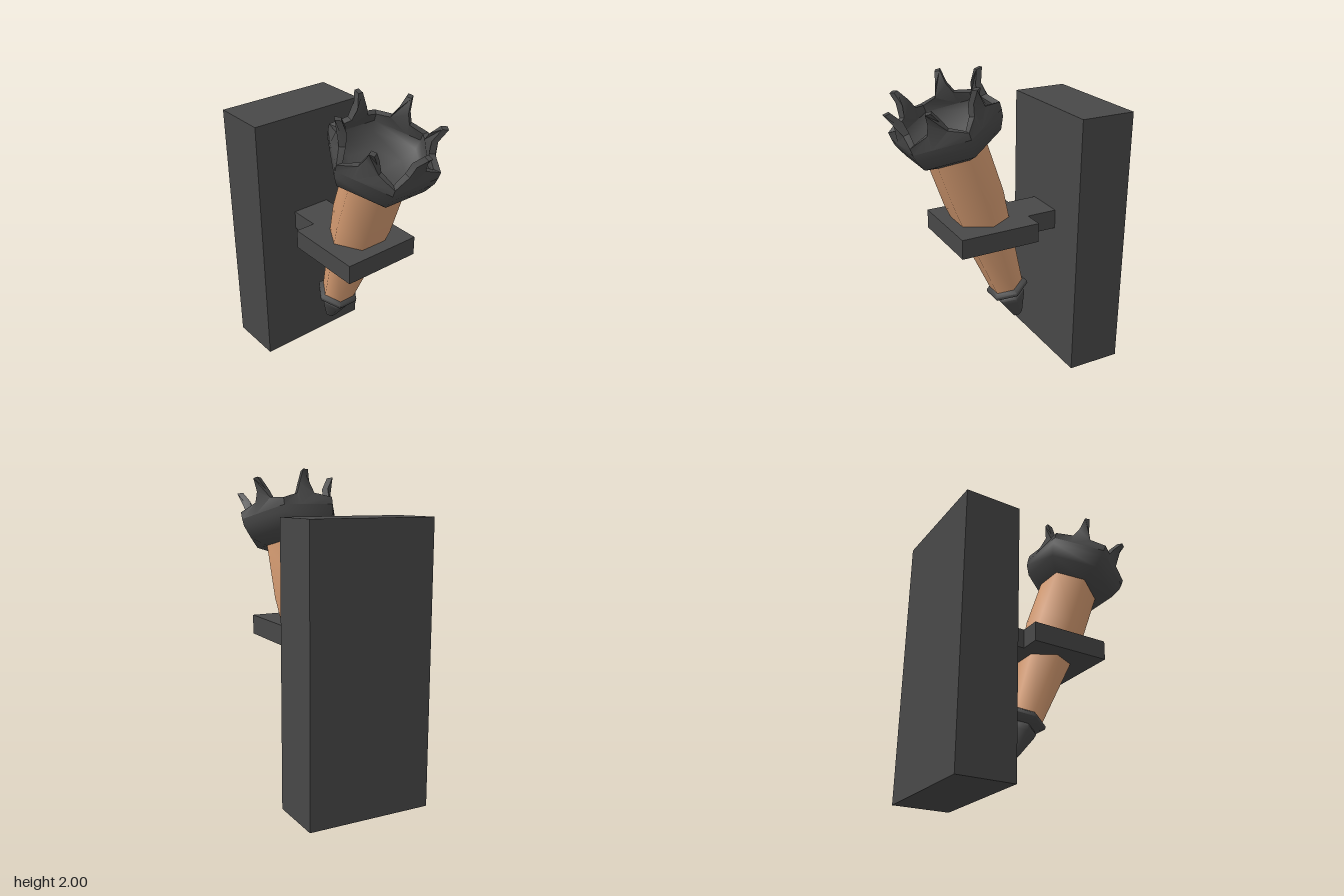
import * as THREE from 'three';
import { toCreasedNormals } from 'three/addons/utils/BufferGeometryUtils.js';

const iron = new THREE.MeshStandardMaterial({ color: 0x484848 });
const wood = new THREE.MeshStandardMaterial({ color: 0xd69c72 });
const SIDES = 6;
const CREASE = 1.1; // keeps the hexagonal sides smooth, rims sharp

function box(name, x0, x1, y0, y1, halfZ) {
  const mesh = new THREE.Mesh(new THREE.BoxGeometry(x1 - x0, y1 - y0, halfZ * 2), iron);
  mesh.position.set((x0 + x1) / 2, (y0 + y1) / 2, 0);
  mesh.name = name;
  return mesh;
}

// Six-sided turned part; profile is [distance to the flat side, height]
function turned(name, profile, material) {
  const k = 1 / Math.cos(Math.PI / SIDES);
  const pts = profile.map(([a, y]) => new THREE.Vector2(a * k, y));
  const mesh = new THREE.Mesh(toCreasedNormals(new THREE.LatheGeometry(pts, SIDES), CREASE), material);
  mesh.name = name;
  return mesh;
}

// Outer distance of the crown wall from the torch axis at a height
const flare = [[1.24, 0.293], [1.285, 0.295], [1.32, 0.275], [1.385, 0.277], [1.46, 0.32]];
function wallDistance(y) {
  for (let i = 1; i < flare.length; i++) {
    const [y0, d0] = flare[i - 1], [y1, d1] = flare[i];
    if (y <= y1 + 1e-5) return d0 + (d1 - d0) * (y - y0) / (y1 - y0);
  }
  return flare[flare.length - 1][1];
}

// One side of the crown: low wall with a spike bending outward
function crownPanelGeometry() {
  const half = [[0.17, 1.24], [0.17, 1.285], [0.06, 1.32], [0.034, 1.385], [0.016, 1.46]];
  const outline = [...half, ...half.slice().reverse().map(([x, y]) => [-x, y]), [-0.06, 1.24], [0.06, 1.24]];
  const shape = new THREE.Shape(outline.map(([x, y]) => new THREE.Vector2(x, y)));
  const depth = 0.038;
  const geo = new THREE.ExtrudeGeometry(shape, { depth, bevelEnabled: false });
  const p = geo.attributes.position;
  for (let i = 0; i < p.count; i++) {
    const x = p.getX(i), z = wallDistance(p.getY(i)) + p.getZ(i) - depth;
    // mitre the ends so that neighbouring panels meet
    if (Math.abs(x) > 0.1) p.setX(i, Math.sign(x) * z * Math.tan(Math.PI / SIDES));
    p.setZ(i, z);
  }
  return toCreasedNormals(geo, 0.7);
}

export function createModel() {
  const model = new THREE.Group();
  model.name = 'wallTorch';

  // Wall mount
  model.add(
    box('backPlate', -0.72, -0.36, 0, 1.72, 0.393),
    box('bracketArm', -0.36, -0.16, 0.93, 1.055, 0.13),
    box('bracketHolder', -0.16, 0.36, 0.93, 1.055, 0.26)
  );

  // Leaning torch, built upright around its own axis
  const torch = new THREE.Group();
  torch.name = 'torch';
  torch.position.set(-0.08, 0.515, 0);
  torch.rotation.z = -0.336;
  model.add(torch);

  torch.add(
    turned('handle', [[0, 0], [0.095, 0], [0.166, 0.715], [0.167, 1.07], [0, 1.07]], wood),
    turned('collar', [[0, -0.046], [0.07, -0.046], [0.088, -0.036], [0.121, -0.015],
      [0.12, 0.004], [0.094, 0.027], [0, 0.027]], iron),
    turned('endCap', [[0, -0.241], [0.033, -0.241], [0.08, -0.098], [0.086, -0.068],
      [0.068, -0.044], [0, -0.044]], iron),
    turned('crownBowl', [[0, 1.06], [0.166, 1.06], [0.257, 1.115], [0.288, 1.195], [0.293, 1.24],
      [0.255, 1.24], [0.24, 1.18], [0.16, 1.12], [0, 1.09]], iron)
  );

  // Spiked rim
  const crown = new THREE.Group();
  crown.name = 'crownRim';
  const panelGeo = crownPanelGeometry();
  for (let i = 0; i < SIDES; i++) {
    const panel = new THREE.Mesh(panelGeo, iron);
    panel.name = 'crownSpike';
    panel.rotation.y = Math.PI / 2 + i * 2 * Math.PI / SIDES;
    crown.add(panel);
  }
  torch.add(crown);

  return model;
}
